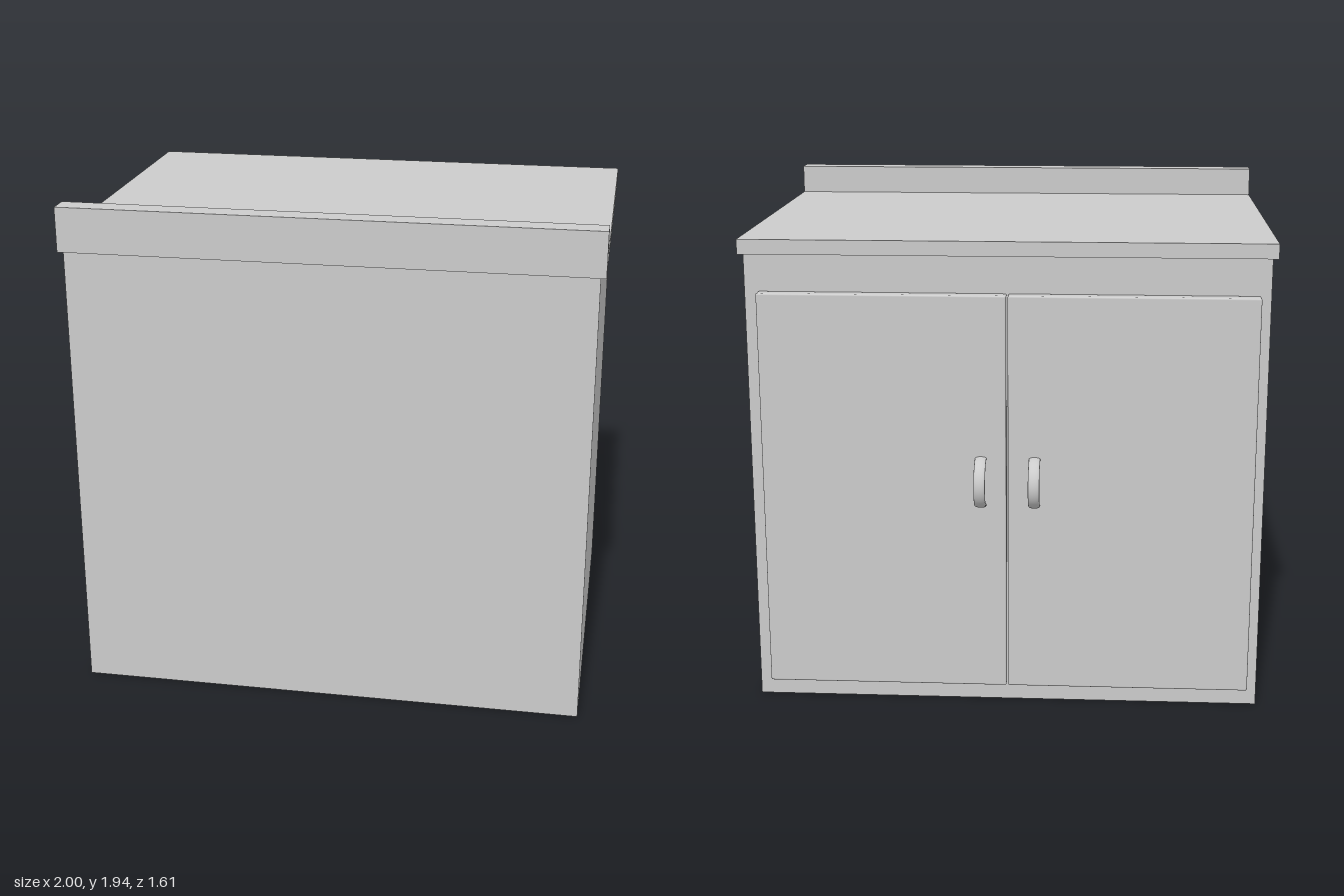
import * as THREE from 'three';
import { RoundedBoxGeometry } from 'three/addons/geometries/RoundedBoxGeometry.js';

const material = new THREE.MeshStandardMaterial({ color: 0xcccccc });

function addPart(parent, name, geometry, x = 0, y = 0, z = 0) {
  const mesh = new THREE.Mesh(geometry, material);
  mesh.name = name;
  mesh.position.set(x, y, z);
  parent.add(mesh);
  return mesh;
}

export function createModel() {
  const model = new THREE.Group();
  model.name = 'baseCabinet';

  // Cabinet body
  addPart(model, 'body', new THREE.BoxGeometry(1.96, 1.77, 1.455), 0, 0.885, 0.068);

  // Countertop with raised splash: L profile (z, y) extruded across the width
  const profile = new THREE.Shape([
    [-0.675, 1.77], [0.806, 1.77], [0.806, 1.94], [0.72, 1.94], [0.72, 1.826], [-0.675, 1.826],
  ].map(([z, y]) => new THREE.Vector2(-z, y)));
  const top = new THREE.ExtrudeGeometry(profile, { depth: 2, bevelEnabled: false });
  top.translate(0, 0, -1).rotateY(Math.PI / 2);
  addPart(model, 'countertop', top);

  // Flattened half-ring handle, bulging toward -z
  const handle = new THREE.TorusGeometry(0.0915, 0.0075, 16, 32, Math.PI);
  handle.scale(1, 1, 2.9).rotateZ(Math.PI / 2).rotateY(-Math.PI / 2);

  // Pair of doors, each with a handle beside the centre gap
  const centre = -0.006;
  for (const [side, s] of [['left', 1], ['right', -1]]) {
    const door = new THREE.Group();
    door.name = side + 'Door';
    addPart(door, side + 'DoorPanel', new RoundedBoxGeometry(0.933, 1.554, 0.05, 3, 0.007),
      centre + s * 0.4695, 0.853, -0.683);
    addPart(door, side + 'Handle', handle, -0.009 + s * 0.102, 0.913, -0.708);
    model.add(door);
  }
  return model;
}
